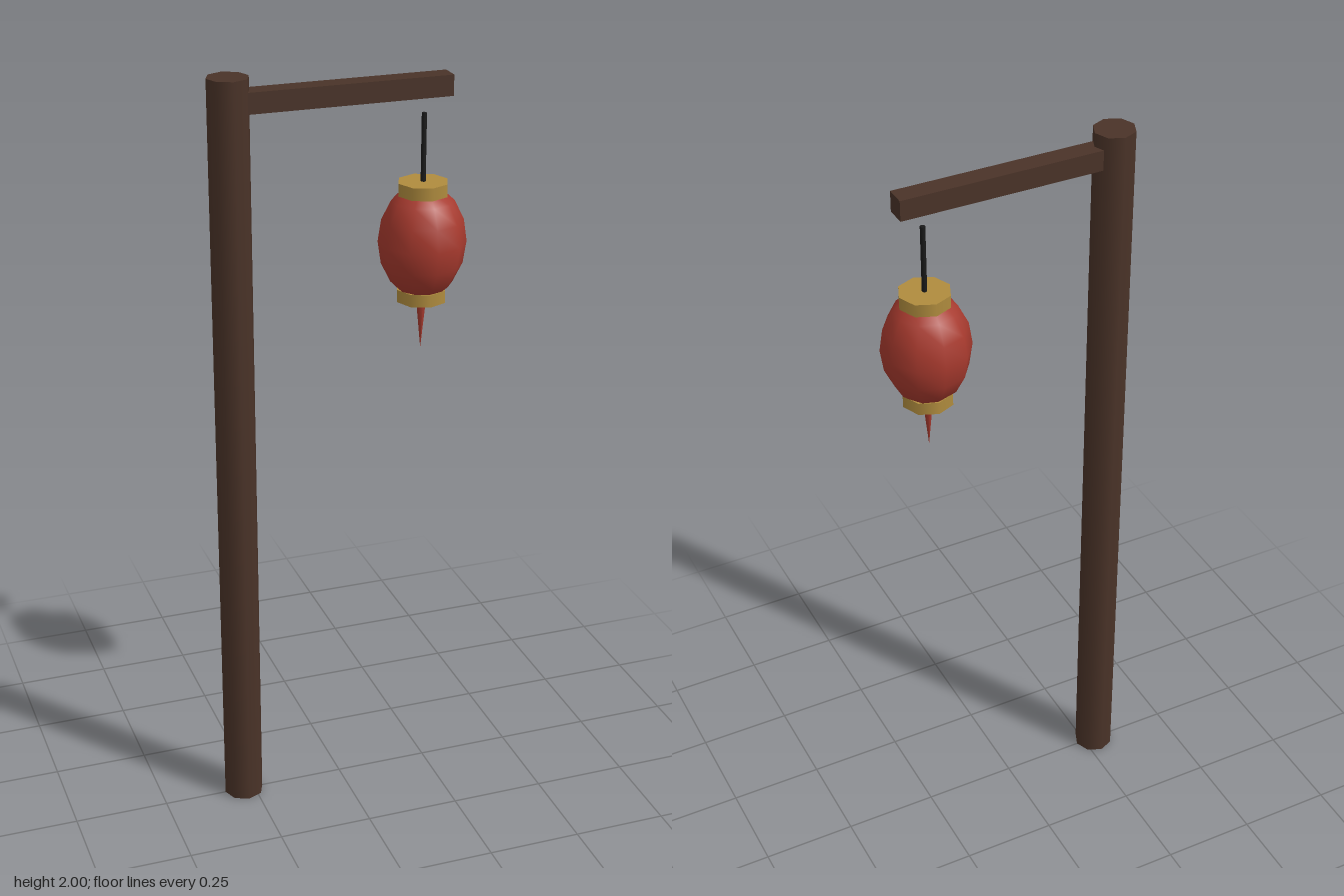
import * as THREE from 'three';

const material = (color) => new THREE.MeshStandardMaterial({ color });

export function createModel() {
  const group = new THREE.Group();
  const wood = material(0x4a3328);
  const red = material(0xa83a2e);
  const gold = material(0xb08c3e);
  const dark = material(0x1a1a1a);

  const add = (name, geometry, mat, x, y, parent = group) => {
    const mesh = new THREE.Mesh(geometry, mat);
    mesh.name = name;
    mesh.position.set(x, y, 0);
    parent.add(mesh);
    return mesh;
  };

  // Upright post and the arm reaching out from its centre
  add('post', new THREE.CylinderGeometry(0.053, 0.053, 2, 8), wood, -0.279, 1);
  add('arm', new THREE.BoxGeometry(0.567, 0.053, 0.053), wood, 0.0045, 1.938);

  // Hanging lantern, placed around the middle of its body
  const lantern = new THREE.Group();
  lantern.name = 'lantern';
  lantern.position.set(0.222, 1.538, 0);
  group.add(lantern);

  // Ten-sided stretched body with a corner facing front and back
  const bodyGeometry = new THREE.SphereGeometry(0.1125, 10, 8);
  bodyGeometry.rotateY(Math.PI / 2);
  bodyGeometry.scale(1, 1.35, 1);
  add('lanternBody', bodyGeometry, red, 0, 0, lantern);

  // Matching caps above and below
  for (const [name, side] of [['topCap', 1], ['bottomCap', -1]]) {
    add(name, new THREE.CylinderGeometry(0.066, 0.066, 0.033, 8), gold, 0, side * 0.14, lantern);
  }

  // Cord above, pointed tassel below
  add('cord', new THREE.CylinderGeometry(0.0065, 0.0065, 0.185, 6), dark, 0, 0.239, lantern);
  add('tassel', new THREE.CylinderGeometry(0.013, 0, 0.133, 6), red, 0, -0.222, lantern);

  return group;
}
